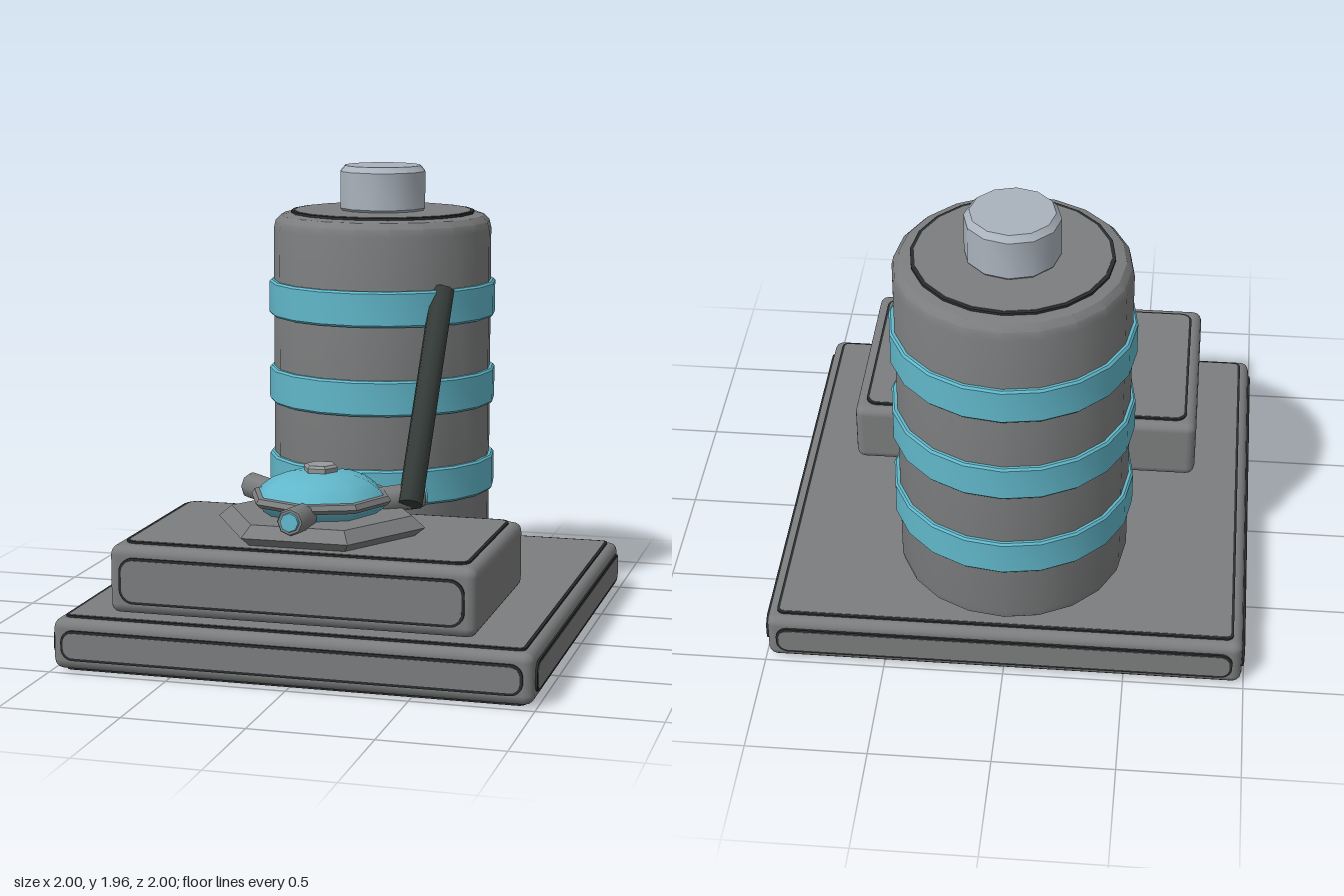
import * as THREE from 'three';
import { toCreasedNormals } from 'three/addons/utils/BufferGeometryUtils.js';
import { RoundedBoxGeometry } from 'three/addons/geometries/RoundedBoxGeometry.js';

const paint = (name, color) => {
  const m = new THREE.MeshStandardMaterial({ color });
  m.name = name;
  return m;
};

export function createModel() {
  const grey = paint('grey', 0x7c7d7e);
  const cyan = paint('cyan', 0x61b7ca);
  const steel = paint('steel', 0xaab3bd);
  const lightGrey = paint('lightGrey', 0x969a9c);
  const rubber = paint('rubber', 0x343b39);
  const trim = paint('trim', 0x2a2d2e);

  const model = new THREE.Group();
  model.name = 'tankUnit';

  const add = (parent, name, geometry, material, x = 0, y = 0, z = 0) => {
    const mesh = new THREE.Mesh(geometry, material);
    mesh.name = name;
    mesh.position.set(x, y, z);
    parent.add(mesh);
    return mesh;
  };

  // Turned solid from [radius, height] pairs, listed bottom to top
  const turned = (points, sides, phi = 0, crease = 0.55) => toCreasedNormals(
    new THREE.LatheGeometry(points.map(([r, y]) => new THREE.Vector2(r, y)), sides, phi), crease);

  // Thin rounded plate facing +z
  const plate = (w, h, r, depth) => {
    const s = new THREE.Shape();
    const a = w / 2, b = h / 2;
    s.moveTo(-a + r, -b);
    s.lineTo(a - r, -b).absarc(a - r, -b + r, r, -Math.PI / 2, 0);
    s.lineTo(a, b - r).absarc(a - r, b - r, r, 0, Math.PI / 2);
    s.lineTo(-a + r, b).absarc(-a + r, b - r, r, Math.PI / 2, Math.PI);
    s.lineTo(-a, -b + r).absarc(-a + r, -b + r, r, Math.PI, Math.PI * 1.5);
    return new THREE.ExtrudeGeometry(s, { depth, bevelEnabled: false, curveSegments: 5 });
  };

  // Raised panel with a dark rim
  const panel = (parent, name, w, h, r, pos, rx = 0, ry = 0) => {
    const g = new THREE.Group();
    g.name = name;
    add(g, 'panelRim', plate(w, h, r, 0.008), trim);
    add(g, 'panelFace', plate(w - 0.022, h - 0.022, Math.max(r - 0.011, 0.01), 0.0099), grey);
    g.position.set(...pos);
    g.rotation.set(rx, ry, 0);
    parent.add(g);
  };

  // Base slab with panels on every side
  const base = new THREE.Group();
  base.name = 'base';
  model.add(base);
  add(base, 'baseSlab', new RoundedBoxGeometry(1.98, 0.21, 1.98, 2, 0.04), grey, 0, 0.115, 0);
  for (let i = 0; i < 4; i++) {
    const a = i * Math.PI / 2;
    panel(base, 'baseSidePanel', 1.9, 0.125, 0.05,
      [Math.sin(a) * 0.99, 0.115, Math.cos(a) * 0.99], 0, a);
  }
  panel(base, 'baseTopPanel', 1.9, 1.9, 0.03, [0, 0.22, 0], -Math.PI / 2);
  panel(base, 'baseBottomPanel', 1.9, 1.9, 0.03, [0, 0.01, 0], Math.PI / 2);

  // Front pedestal
  const pedestal = new THREE.Group();
  pedestal.name = 'pedestal';
  model.add(pedestal);
  add(pedestal, 'pedestalBlock', new RoundedBoxGeometry(1.51, 0.28, 0.895, 2, 0.04), grey, 0, 0.39, 0.503);
  panel(pedestal, 'pedestalFrontPanel', 1.42, 0.19, 0.06, [0, 0.39, 0.95]);
  panel(pedestal, 'pedestalTopPanel', 1.42, 0.8, 0.05, [0, 0.53, 0.495], -Math.PI / 2);

  // Tall tank
  const tank = new THREE.Group();
  tank.name = 'tank';
  tank.position.z = -0.48;
  model.add(tank);
  add(tank, 'tankBody', turned([
    [0, 0.25], [0.41, 0.25], [0.448, 0.257], [0.472, 0.28], [0.48, 0.315],
    [0.48, 1.69], [0.472, 1.725], [0.448, 1.75], [0.41, 1.758], [0, 1.758],
  ], 20), grey);
  for (const [y, dir] of [[1.758, 1], [0.25, -1]]) {
    add(tank, 'tankEndRim', new THREE.CylinderGeometry(0.405, 0.405, 0.02, 20), trim, 0, y, 0);
    add(tank, 'tankEndFace', new THREE.CylinderGeometry(0.39, 0.39, 0.02, 20), grey, 0, y + dir * 0.002, 0);
  }
  for (const y of [0.618, 1.005, 1.388]) {
    add(tank, 'tankBand', turned([
      [0.47, -0.077], [0.492, -0.077], [0.5, -0.068], [0.5, 0.068], [0.492, 0.077], [0.47, 0.077],
    ], 20), cyan, 0, y, 0);
  }
  add(tank, 'tankCap', turned([
    [0, 1.76], [0.175, 1.76], [0.192, 1.78], [0.192, 1.94], [0.17, 1.965], [0, 1.965],
  ], 12), steel);

  // Dome valve on its hexagonal mount
  const valve = new THREE.Group();
  valve.name = 'valve';
  valve.position.z = 0.495;
  model.add(valve);
  add(valve, 'hexMount', turned([
    [0, 0.535], [0.39, 0.535], [0.44, 0.575], [0.385, 0.622], [0, 0.622],
  ], 6, Math.PI / 6), grey);
  add(valve, 'dome', turned([
    [0.22, 0.615], [0.265, 0.645], [0.28, 0.68], [0.255, 0.715],
    [0.205, 0.752], [0.14, 0.777], [0.07, 0.787], [0, 0.789],
  ], 8, 0, 0.9), cyan);
  add(valve, 'domeRing', turned([
    [0.24, 0.66], [0.28, 0.66], [0.298, 0.678], [0.285, 0.698], [0.24, 0.704],
  ], 8), grey);
  add(valve, 'domeKnob', turned([
    [0.07, 0.77], [0.072, 0.805], [0.062, 0.816], [0, 0.816],
  ], 6, Math.PI / 6), lightGrey);

  // Three nozzles spaced evenly around the dome
  for (let i = 0; i < 3; i++) {
    const nozzle = new THREE.Group();
    nozzle.name = 'nozzle';
    nozzle.rotation.set(Math.PI / 2 - 0.08, i * Math.PI * 2 / 3, 0, 'YXZ');
    nozzle.position.y = 0.63;
    valve.add(nozzle);
    add(nozzle, 'nozzleTube', turned([
      [0.05, 0.2], [0.055, 0.23], [0.057, 0.42], [0.05, 0.435], [0, 0.435],
    ], 8, 0, 0.9), grey);
    add(nozzle, 'nozzleTip', new THREE.CylinderGeometry(0.037, 0.042, 0.02, 8), cyan, 0, 0.436, 0);
  }

  // Slanted hose between nozzle and tank
  const from = new THREE.Vector3(0.345, 0.64, 0.37);
  const to = new THREE.Vector3(0.345, 1.46, -0.175);
  const along = to.clone().sub(from);
  const hose = add(model, 'hose', toCreasedNormals(
    new THREE.CylinderGeometry(0.052, 0.052, along.length(), 8), 0.9), rubber);
  hose.position.copy(from).lerp(to, 0.5);
  hose.quaternion.setFromUnitVectors(new THREE.Vector3(0, 1, 0), along.normalize());

  return model;
}
